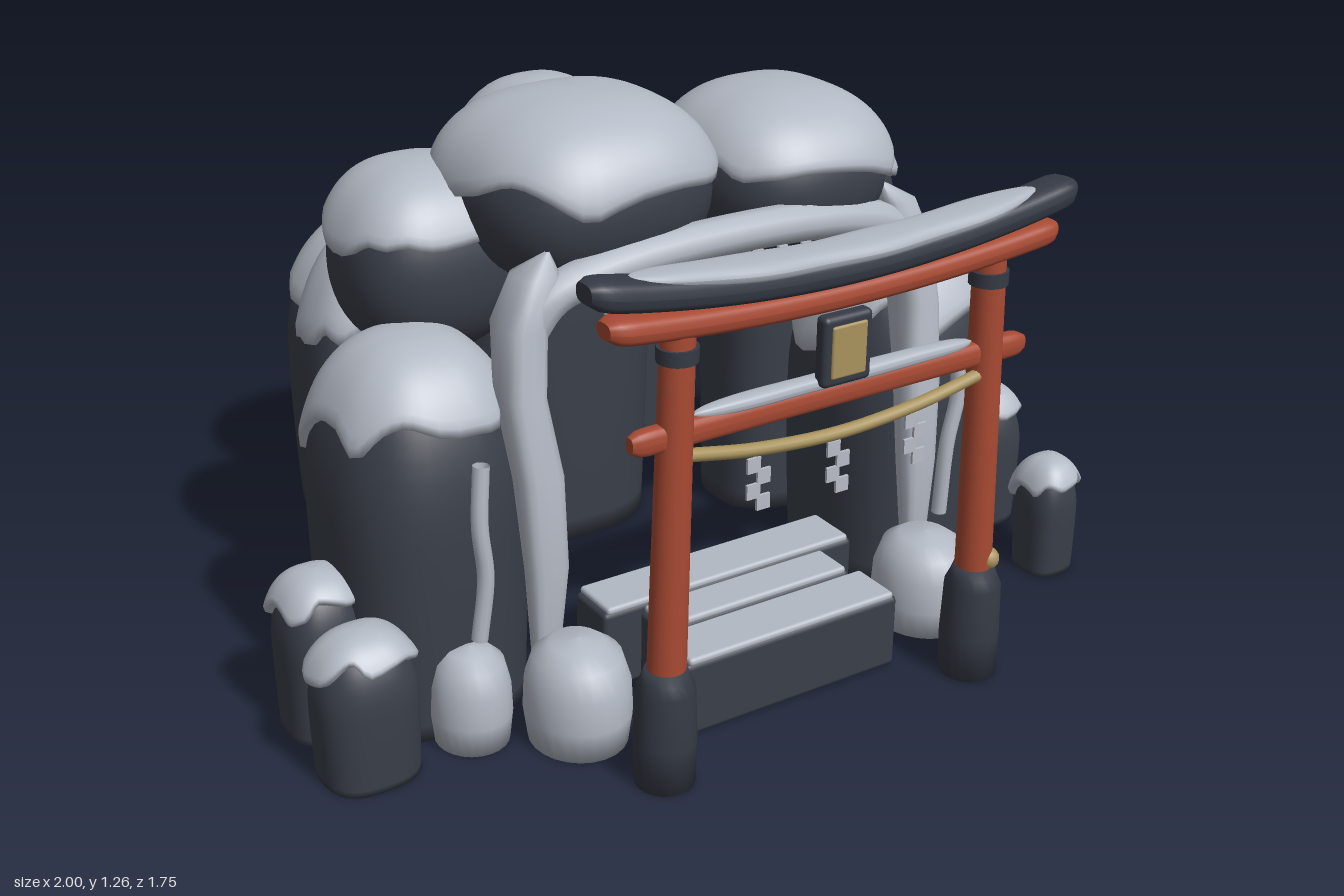
import * as THREE from 'three';
import { RoundedBoxGeometry } from 'three/addons/geometries/RoundedBoxGeometry.js';

const mat = (name, color, side = THREE.FrontSide) => {
  const m = new THREE.MeshStandardMaterial({ color, side });
  m.name = name;
  return m;
};

export function createModel() {
  const model = new THREE.Group();
  model.name = 'snowyRockShrine';
  const stone = mat('dark stone', 0x3a3f49);
  const snow = mat('snow', 0xb3b9c4, THREE.DoubleSide);
  const red = mat('vermilion wood', 0xa84a33);
  const cap = mat('dark cap wood', 0x353a45);
  const gold = mat('straw gold', 0xa8925c);
  const paper = mat('paper', 0xb9bdc6, THREE.DoubleSide);

  const add = (name, geo, material, x = 0, y = 0, z = 0, parent = model) => {
    const m = new THREE.Mesh(geo, material);
    m.name = name;
    m.position.set(x, y, z);
    parent.add(m);
    return m;
  };
  const pow = (v, e) => Math.sign(v) * Math.pow(Math.abs(v), e);
  const ring = (N, f) => Array.from({ length: N }, (_, j) => f(j / N * Math.PI * 2));

  // Closed rings of points joined into a smooth skin
  const skin = rows => {
    const N = rows[0].length, pos = [], idx = [];
    rows.forEach(r => r.forEach(p => pos.push(...p)));
    for (let i = 0; i < rows.length - 1; i++)
      for (let j = 0; j < N; j++) {
        const a = i * N + j, b = i * N + (j + 1) % N;
        idx.push(a, a + N, b, b, a + N, b + N);
      }
    const g = new THREE.BufferGeometry();
    g.setAttribute('position', new THREE.Float32BufferAttribute(pos, 3));
    g.setIndex(idx);
    g.computeVertexNormals();
    return g;
  };

  // Rounded pillar or boulder with a dripping snow cap; snowY is the mean edge height,
  // crown sets the top from blocky (0.6) to round (1)
  const rock = (name, x, z, rx, rz, y0, y1, snowY, seed, crown = 0.74, boulder = false) => {
    const N = 48, M = 24, T = 0.014;
    const group = new THREE.Group();
    group.name = name;
    model.add(group);
    const top = y1 - T, ys = boulder ? (y0 + top) / 2 : y0 + (top - y0) * 0.56;
    const point = (u, s, off) => {
      let r, y;
      if (s < 0.5 && !boulder) {
        r = 0.955 + 0.045 * Math.sin(s * Math.PI);
        y = y0 + (ys - y0) * s * 2;
      } else {
        const a = (s - 0.5) * Math.PI;
        r = Math.pow(Math.max(0, Math.cos(a)), crown);
        y = ys + (top - ys) * Math.sin(a);
      }
      const k = r * (0.995 + 0.015 * Math.sin(2 * u + seed) + 0.018 * Math.sin(3 * u + seed * 2.3 + s * 3));
      return [
        x + pow(Math.cos(u), 0.76) * k * (rx - T + off),
        y + off * Math.max(0, s - 0.5) * 2,
        z + pow(Math.sin(u), 0.76) * k * (rz - T + off)];
    };
    const body = [];
    if (!boulder) body.push(ring(N, () => [x, y0, z]));
    for (let i = 0; i <= M; i++) body.push(ring(N, u => point(u, i / M, 0)));
    add(name + 'Stone', skin(body), stone, 0, 0, 0, group);

    // Snow lies lower on the back of the pillars
    const s0 = snowY < ys && !boulder ? (snowY - y0) / (ys - y0) / 2
      : 0.5 + Math.asin((snowY - ys) / (top - ys)) / Math.PI;
    const tilt = boulder ? 0.01 : 0.07;
    const edge = u => s0 + tilt * Math.sin(u) + 0.025 * Math.sin(3 * u + seed * 1.7)
      + 0.025 * Math.sin(5 * u + seed * 3.1) - 0.035 * Math.pow(Math.max(0, Math.sin(4 * u + seed)), 3);
    const caps = [ring(N, u => point(u, edge(u), -0.02))];
    for (let i = 0; i <= 16; i++)
      caps.push(ring(N, u => point(u, edge(u) + (1 - edge(u)) * i / 16, i ? T + 0.006 : T)));
    add(name + 'Snow', skin(caps), snow, 0, 0, 0, group);
  };

  // Back rocks
  rock('backRockRight', -0.255, -0.615, 0.293, 0.243, 0, 0.78, 0.6, 1.2);
  rock('backRockLeft', 0.272, -0.67, 0.272, 0.207, 0, 0.70, 0.55, 2.6);
  rock('backRockTall', 0.01, -0.382, 0.273, 0.247, 0, 1.115, 0.79, 4.1);
  // Side pillars
  rock('sidePillarLeft', 0.617, 0.235, 0.227, 0.243, 0, 0.80, 0.60, 0.7);
  rock('sidePillarRight', -0.64, 0.23, 0.229, 0.245, 0, 0.82, 0.63, 3.3);
  rock('rearPillarLeft', 0.575, -0.165, 0.212, 0.173, 0, 0.915, 0.67, 5.2, 0.92);
  rock('rearPillarRight', -0.535, -0.15, 0.192, 0.172, 0, 0.925, 0.69, 1.9, 0.92);
  // Shoulder and roof boulders
  rock('shoulderBoulderLeft', 0.522, 0.02, 0.19, 0.202, 0.66, 1.045, 0.92, 2.2, 0.72, true);
  rock('shoulderBoulderRight', -0.51, 0.03, 0.209, 0.212, 0.7, 1.11, 0.97, 4.6, 0.72, true);
  rock('roofBoulderRight', -0.225, 0.19, 0.283, 0.275, 0.86, 1.255, 1.09, 0.3, 0.72, true);
  rock('roofBoulderLeft', 0.267, 0.21, 0.242, 0.257, 0.85, 1.205, 1.06, 3.9, 0.72, true);
  // Small outer stones
  rock('smallStoneLeftRear', 0.905, 0.25, 0.1, 0.112, 0, 0.355, 0.27, 1.1);
  rock('smallStoneLeftFront', 0.86, 0.545, 0.08, 0.084, 0, 0.285, 0.21, 2.9);
  rock('smallStoneRightRear', -0.89, 0.26, 0.105, 0.112, 0, 0.36, 0.28, 5.5);
  rock('smallStoneRightFront', -0.885, 0.468, 0.12, 0.108, 0, 0.325, 0.25, 0.9);

  // Snow mounds on the ground
  const profile = pts => pts.map(p => new THREE.Vector2(...p));
  const mound = profile([[0, 0], [0.92, 0], [1, 0.3], [0.97, 0.6], [0.82, 0.84], [0.5, 0.96], [0, 1]]);
  for (const [x, z, rx, rz, h] of [[0.455, 0.58, 0.112, 0.122, 0.22], [-0.46, 0.58, 0.112, 0.122, 0.23], [-0.65, 0.47, 0.085, 0.09, 0.215]])
    add('snowMound', new THREE.LatheGeometry(mound, 24), snow, x, 0, z).scale.set(rx, h, rz);

  // Steps with snow on the treads
  for (const [x, w, z0, z1, h] of [[-0.005, 0.55, 0.59, 0.715, 0.17], [-0.005, 0.49, 0.485, 0.585, 0.18], [0, 0.66, 0.35, 0.475, 0.185]]) {
    const d = z1 - z0, z = (z0 + z1) / 2;
    add('step', new RoundedBoxGeometry(w, h, d, 2, 0.012), stone, x, h / 2, z);
    add('stepSnow', new RoundedBoxGeometry(w - 0.02, 0.018, d - 0.004, 2, 0.008), snow, x, h + 0.003, z);
  }

  // Snow drapes at the sides of the entrance: x, y, z, half width, half depth
  const drape = [[0.5, 0.1, 0.485, 0.004, 0.004], [0.5, 0.16, 0.485, 0.03, 0.025], [0.495, 0.35, 0.485, 0.045, 0.035],
    [0.5, 0.55, 0.465, 0.05, 0.045], [0.515, 0.72, 0.42, 0.046, 0.06], [0.5, 0.86, 0.395, 0.048, 0.066],
    [0.46, 0.96, 0.395, 0.045, 0.05], [0.43, 1.0, 0.395, 0.004, 0.004]];
  for (const s of [-0.96, 1])
    add('snowDrape', skin(drape.map(([x, y, z, w, d]) =>
      ring(16, u => [x * s + pow(Math.cos(u), 0.7) * w, y, z + pow(Math.sin(u), 0.7) * d]))), snow);

  // Snow arch over the entrance, with icicles
  const tube = (name, pts, r, material) => add(name,
    new THREE.TubeGeometry(new THREE.CatmullRomCurve3(pts.map(p => new THREE.Vector3(...p))), 48, r, 10), material);
  tube('snowArch', [[-0.48, 0.83, 0.41], [-0.42, 0.91, 0.42], [-0.3, 0.95, 0.43], [0, 0.97, 0.435],
    [0.3, 0.95, 0.43], [0.43, 0.91, 0.42], [0.5, 0.83, 0.41]], 0.043, snow);
  for (let i = -5; i <= 5; i++) {
    const h = 0.06 + 0.02 * Math.sin(i * 2.3);
    add('icicle', new THREE.ConeGeometry(0.013, h, 8), snow, i * 0.062, 0.93 - h / 2 - 0.0007 * i * i, 0.45).rotation.x = Math.PI;
  }
  // Frozen runnels on the pillar fronts
  tube('runnelLeft', [[0.615, 0.57, 0.47], [0.62, 0.48, 0.475], [0.597, 0.36, 0.475], [0.59, 0.18, 0.47]], 0.018, snow);
  tube('runnelRight', [[-0.61, 0.61, 0.466], [-0.62, 0.48, 0.473], [-0.61, 0.36, 0.473], [-0.625, 0.22, 0.468]], 0.018, snow);

  // Gate posts
  const Z = 0.81;
  const base = profile([[0, 0], [0.062, 0], [0.065, 0.1], [0.061, 0.215], [0.05, 0.24], [0.043, 0.26], [0, 0.26]]);
  for (const s of [-1, 1]) {
    add('postBase', new THREE.LatheGeometry(base, 20), cap, s * 0.395, 0, Z);
    add('gatePost', new THREE.CylinderGeometry(0.034, 0.04, 0.76, 20), red, s * 0.384, 0.62, Z).rotation.z = s * 0.024;
    add('postRing', new THREE.CylinderGeometry(0.041, 0.041, 0.03, 20), cap, s * 0.376, 0.925, Z);
  }
  add('postFitting', new THREE.SphereGeometry(0.025, 12, 8), gold, 0.413, 0.278, Z + 0.022);

  // Beams that sweep up toward their ends; a low end power gives a long taper
  const beam = (name, half, h, d, y, rise, material, endPower = 50, wobble = 0) => {
    const g = new THREE.CylinderGeometry(1, 1, half * 2, 20, 60).rotateZ(Math.PI / 2);
    const p = g.attributes.position;
    for (let i = 0; i < p.count; i++) {
      const x = p.getX(i), t = Math.min(1, Math.abs(x) / half);
      const k = Math.max(endPower > 10 ? 0.6 : 0.1, Math.sqrt(1 - Math.pow(t, endPower)));
      p.setY(i, pow(p.getY(i), 0.7) * h / 2 * k + rise * x * x / 0.33);
      p.setZ(i, pow(p.getZ(i), 0.7) * d / 2 * k * (1 + wobble * Math.sin(x * 23)));
    }
    g.computeVertexNormals();
    return add(name, g, material, 0, y, Z);
  };
  beam('lowerLintel', 0.535, 0.055, 0.08, 0.969, 0.037, red);
  beam('topLintel', 0.575, 0.064, 0.092, 1.021, 0.06, cap);
  beam('topLintelSnow', 0.485, 0.04, 0.1, 1.052, 0.056, snow, 4, 0.06);
  beam('tieBeam', 0.48, 0.054, 0.042, 0.76, 0, red);
  beam('tieBeamSnow', 0.34, 0.03, 0.042, 0.79, 0, snow, 6, 0.06);

  // Plaque at the centre
  add('plaqueFrame', new RoundedBoxGeometry(0.118, 0.148, 0.035, 3, 0.012), cap, -0.003, 0.86, Z + 0.018);
  add('plaqueFace', new RoundedBoxGeometry(0.084, 0.11, 0.012, 2, 0.005), gold, -0.003, 0.86, Z + 0.034);

  // Straw rope and zigzag paper streamers
  tube('strawRope', [[-0.36, 0.715, Z + 0.01], [-0.2, 0.688, Z + 0.012], [0, 0.674, Z + 0.012], [0.2, 0.688, Z + 0.012], [0.36, 0.715, Z + 0.01]], 0.014, gold);
  for (const x of [-0.193, 0, 0.195])
    for (let i = 0; i < 4; i++)
      add('paperStreamer', new THREE.BoxGeometry(0.031, 0.032, 0.006), paper,
        x + (i % 2 ? 0.012 : -0.012), (x ? 0.655 : 0.642) - i * 0.028, Z + 0.012);

  return model;
}
